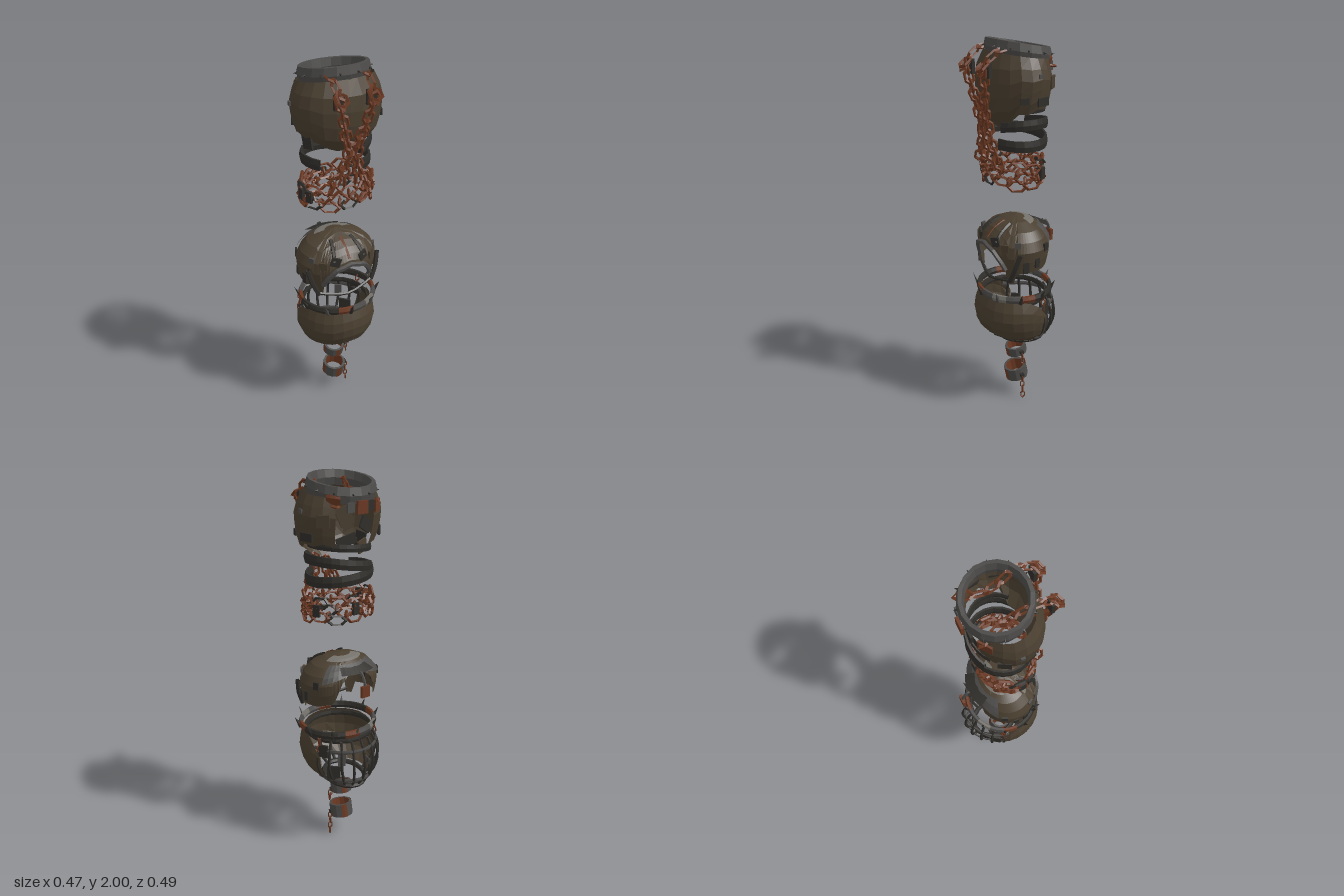
import * as THREE from 'three';

const paint = (color) => new THREE.MeshStandardMaterial({ color, flatShading: true, side: THREE.DoubleSide });
const LEATHER = paint(0x4a3f30), DARK = paint(0x302e2a), STEEL = paint(0x4c4b49), PALE = paint(0x74716b), RUST = paint(0x6a3822);
const rad = THREE.MathUtils.degToRad, lerp = THREE.MathUtils.lerp;
const V = (x, y, z) => new THREE.Vector3(x, y, z);

// Piecewise linear lookup in [[key, value], ...] with rising keys
function ramp(table, k) {
  if (k <= table[0][0]) return table[0][1];
  for (let i = 1; i < table.length; i++) {
    const [k0, v0] = table[i - 1], [k1, v1] = table[i];
    if (k <= k1) return lerp(v0, v1, (k - k0) / (k1 - k0));
  }
  return table[table.length - 1][1];
}

// Quad sheet from a rule fn(u, v) -> [x, y, z]
function sheet(nu, nv, fn) {
  const pos = [], idx = [];
  for (let i = 0; i <= nu; i++) for (let j = 0; j <= nv; j++) pos.push(...fn(i / nu, j / nv));
  for (let i = 0; i < nu; i++) for (let j = 0; j < nv; j++) {
    const a = i * (nv + 1) + j, b = a + nv + 1;
    idx.push(a, a + 1, b, b, a + 1, b + 1);
  }
  const g = new THREE.BufferGeometry();
  g.setAttribute('position', new THREE.Float32BufferAttribute(pos, 3));
  g.setIndex(idx);
  g.computeVertexNormals();
  return g;
}

function add(parent, name, geo, mat, x = 0, y = 0, z = 0) {
  const m = new THREE.Mesh(geo, mat);
  m.name = name;
  m.position.set(x, y, z);
  parent.add(m);
  return m;
}

function section(root, name, x = 0) {
  const g = new THREE.Group();
  g.name = name;
  g.position.x = x;
  root.add(g);
  return g;
}

// Angles are in degrees: 0 = front, 90 = +x. width is the x radius by height, shift the z centre by height
function onShell(s, a, y, out = 0) {
  const r = ramp(s.width, y) + out;
  return [r * Math.sin(rad(a)), y, ramp(s.shift, y) + r * s.depth * Math.cos(rad(a))];
}
const shell = (s, nu, nv, a0, a1, top, bottom, power = 1, out = 0) => sheet(nu, nv, (u, v) => {
  const a = lerp(a0, a1, u);
  return onShell(s, a, lerp(top(a), bottom(a), v ** power), out);
});

// Hoop with a six-sided section, w thick and h high (half sizes)
const hoop = (rx, rz, cz, yOf, a0, a1, n, w, h) => sheet(n, 6, (u, v) => {
  const a = rad(lerp(a0, a1, u)), t = v * Math.PI * 2, o = w * Math.cos(t);
  return [(rx + o) * Math.sin(a), yOf(a) + h * Math.sin(t) * 1.15, cz + (rz + o) * Math.cos(a)];
});

const bar = (pts, r, n = 8) => new THREE.TubeGeometry(new THREE.CatmullRomCurve3(pts), n, r, 5);

// Links along a curve, each turned a quarter against the last
function chain(parent, name, pts, n, r, tube, stretch = 1.6) {
  const g = section(parent, name), curve = new THREE.CatmullRomCurve3(pts);
  const geo = new THREE.TorusGeometry(r, tube, 4, 6).rotateZ(Math.PI / 6).scale(1, stretch, 1);
  for (let i = 0; i < n; i++) {
    const t = i / (n - 1), m = add(g, 'link', geo, RUST);
    m.position.copy(curve.getPointAt(t));
    m.quaternion.setFromUnitVectors(V(0, -1, 0), curve.getTangentAt(t));
    m.rotateY(i % 2 ? 1.2 : -0.25);
  }
}

// Plates or studs [angle, y, w, h, material, roll] lying on a shell
function plates(parent, name, s, list, out = 0.002) {
  for (const [a, y, w, h, mat, roll = 0] of list) {
    const m = add(parent, name, new THREE.BoxGeometry(w, h, 0.01), mat, ...onShell(s, a, y, out));
    m.rotation.set(0, rad(a), roll, 'YXZ');
  }
}

function buildTorso(root) {
  const g = section(root, 'torso', -0.006);
  const s = { depth: 0.75, shift: [[1.6, 0.01], [1.8, 0]], width: [[1.56, 0.1], [1.61, 0.145], [1.67, 0.203], [1.74, 0.222], [1.82, 0.23], [1.9, 0.207], [1.95, 0.165]] };
  const bottom = (a) => ramp([[0, 1.585], [25, 1.59], [50, 1.63], [75, 1.67], [110, 1.68], [135, 1.69], [155, 1.66]], Math.abs(a)) + 0.014 * Math.sin(a * 1.7);
  add(g, 'torsoShell', shell(s, 18, 5, -155, 148, (a) => 1.92 + 0.02 * Math.cos(rad(a)), bottom), LEATHER);
  plates(g, 'torsoPatch', s, [[70, 1.73, 0.04, 0.03, DARK], [105, 1.72, 0.07, 0.04, DARK], [132, 1.8, 0.06, 0.06, LEATHER],
    [-72, 1.65, 0.06, 0.08, DARK, 0.2], [-120, 1.72, 0.06, 0.05, DARK], [-145, 1.85, 0.07, 0.06, RUST], [-95, 1.82, 0.02, 0.02, STEEL], [95, 1.84, 0.02, 0.02, STEEL]]);
  // Broken slabs inside the open back
  plates(g, 'brokenSlab', s, [[160, 1.82, 0.07, 0.09, LEATHER, 0.4], [195, 1.77, 0.08, 0.06, DARK, -0.5], [165, 1.7, 0.1, 0.05, DARK, 0.3], [200, 1.66, 0.07, 0.06, LEATHER, 0.2]], -0.02);

  // Sloping collar with studs and back plates
  const slope = (a) => 1.936 + 0.026 * Math.cos(a);
  add(g, 'collar', hoop(0.159, 0.144, -0.025, slope, 0, 360, 18, 0.017, 0.037), STEEL);
  for (let i = 0; i < 12; i++) {
    const a = rad(i * 30 + 15);
    const m = add(g, 'collarStud', new THREE.ConeGeometry(0.008, 0.024, 5), DARK, 0.178 * Math.sin(a), slope(a) + 0.005, -0.025 + 0.163 * Math.cos(a));
    m.rotation.set(Math.PI / 2, a, 0, 'YXZ');
  }
  add(g, 'collarRustPatch', hoop(0.16, 0.145, -0.025, (a) => slope(a) - 0.015, 122, 145, 3, 0.018, 0.03), RUST);
  for (const [x, w, h, mat] of [[0, 0.06, 0.06, RUST], [-0.06, 0.04, 0.05, DARK], [0.055, 0.04, 0.045, STEEL]])
    add(g, 'collarBackPlate', new THREE.BoxGeometry(w, h, 0.014), mat, x, 1.86, -0.19 + Math.abs(x) * 0.3);

  // Loose hoops under the torso
  add(g, 'ribHoop', hoop(0.16, 0.14, -0.01, (a) => 1.66 + 0.015 * Math.sin(a), 45, 225, 14, 0.007, 0.018), DARK);
  add(g, 'upperHoop', hoop(0.174, 0.148, -0.01, (a) => 1.578 + 0.028 * Math.sin(a), 30, 215, 14, 0.01, 0.025), DARK);
  add(g, 'lowerHoop', hoop(0.17, 0.148, -0.01, (a) => 1.515 - 0.016 * Math.sin(a), 25, 310, 18, 0.01, 0.027), DARK);

  // Crossed chains, running over the shoulders and back inside the collar
  for (const k of [-1, 1]) {
    chain(g, 'crossChain', [V(0.085 * k, 1.86, 0.205), V(0.055 * k, 1.75, 0.19), V(0, 1.62, 0.16 + 0.012 * k), V(-0.045 * k, 1.52, 0.15), V(-0.095 * k, 1.42, 0.14)], 12, 0.023, 0.0075, 1.5);
    chain(g, 'sideChain', [V(0.055 * k, 1.7, 0.18), V(0.03 * k, 1.58, 0.165), V(0.03 * k, 1.45, 0.145)], 6, 0.018, 0.007, 1.6);
    chain(g, 'shoulderChain', [V(0.085 * k, 1.88, 0.21), V(0.088 * k, 1.925, 0.17), V(0.09 * k, 1.955, 0.1), V(0.08 * k, 1.92, 0.03), V(0.085 * k, 1.88, -0.05), V(0.11 * k, 1.87, -0.12)], 7, 0.02, 0.007, 2);
    const ring = add(g, 'shoulderRing', new THREE.TorusGeometry(0.034, 0.008, 4, 6), RUST, 0.085 * k, 1.885, 0.214);
    ring.rotation.set(-0.9, 0, Math.PI / 6);
    add(g, 'chestBuckle', new THREE.BoxGeometry(0.05, 0.07, 0.016), DARK, 0.082 * k, 1.865, 0.185);
  }
}

function buildMail(root) {
  // Three staggered rows of links around the waist
  const g = section(root, 'mailSkirt', -0.008);
  const wide = new THREE.TorusGeometry(0.038, 0.0085, 4, 6).scale(1.2, 0.72, 1);
  const small = new THREE.TorusGeometry(0.018, 0.007, 4, 6);
  for (let row = 0; row < 3; row++) for (let i = 0; i < 12; i++) {
    const a = rad((i + row * 0.5) * 30), sag = 0.01 * Math.sin(i * 2.1);
    const put = (name, geo, b, y, mat, turn) => {
      const m = add(g, name, geo, mat, 0.183 * Math.sin(b), y, 0.002 + 0.134 * Math.cos(b));
      m.rotation.set(0.3 * Math.sin(i * 1.7), b + turn, 0, 'YXZ');
    };
    put('mailLink', wide, a, 1.316 + row * 0.04 + sag, (i + row) % 5 ? RUST : DARK, 0);
    if (row < 2) put('joiningLink', small, a + rad(15), 1.336 + row * 0.04, RUST, 1.2);
  }
  for (const a of [-85, -65, 115, 180]) {
    const m = add(g, 'mailPlate', new THREE.BoxGeometry(0.035, 0.06, 0.014), DARK, 0.195 * Math.sin(rad(a)), 1.36, 0.145 * Math.cos(rad(a)));
    m.rotation.y = rad(a);
  }
}

function buildHelmet(root) {
  const g = section(root, 'helmet', -0.008);
  const s = { depth: 0.8, shift: [[0.8, 0], [1, -0.005], [1.1, -0.02]], width: [[0.77, 0.185], [0.84, 0.2], [0.95, 0.221], [1.0, 0.205], [1.05, 0.155], [1.08, 0.09], [1.098, 0]] };
  const edge = [[0, 0.965], [20, 0.945], [32, 0.9], [41, 0.85], [45, 0.785], [56, 0.785], [60, 0.845], [115, 0.85], [142, 0.87], [146, 0.9], [154, 0.98], [165, 1.02], [180, 1.035]];
  const bottom = (a) => ramp(edge, Math.abs(a));
  add(g, 'helmetDome', shell(s, 72, 6, -180, 180, () => 1.098, bottom, 1.5), LEATHER);

  // Trim around the face, chin bar and cheek plates
  const brow = Array.from({ length: 13 }, (_, i) => {
    const a = lerp(-41, 41, i / 12);
    return V(...onShell(s, a, bottom(a) + 0.012, 0.004));
  });
  add(g, 'faceTrim', bar(brow, 0.013, 20), STEEL);
  add(g, 'chinBar', bar([V(-0.165, 0.81, 0.105), V(-0.1, 0.795, 0.125), V(0, 0.782, 0.145), V(0.1, 0.795, 0.125), V(0.165, 0.81, 0.105)], 0.008), DARK);
  for (const k of [-1, 1]) {
    add(g, 'cheekBar', bar([V(0.205 * k, 0.95, 0.08), V(0.185 * k, 0.87, 0.1), V(0.155 * k, 0.8, 0.11)], 0.013), DARK);
    plates(g, 'sidePlate', s, [[75 * k, 0.88, 0.03, 0.06, DARK], [95 * k, 0.9, 0.025, 0.05, DARK], [60 * k, 1.0, 0.03, 0.03, STEEL], [115 * k, 0.97, 0.03, 0.04, DARK],
      [22 * k, 1.0, 0.05, 0.05, DARK, 0.3 * k], [40 * k, 0.98, 0.04, 0.04, LEATHER]]);
  }
  // Crown: short front straps, pale rear band, ledge and hook
  for (const x of [-0.07, 0, 0.07])
    add(g, 'crownStrap', bar([V(x * 1.2, 1.0, 0.15), V(x, 1.045, 0.105), V(x * 0.8, 1.075, 0.05)], 0.01), x ? DARK : RUST);
  add(g, 'crownBand', shell(s, 12, 2, 105, 255, () => 1.089, () => 1.074, 1, 0.008), PALE);
  add(g, 'rearBand', shell(s, 14, 3, 125, 235, () => 1.064, (a) => ramp([[0, 1.035], [55, 0.98]], Math.abs(a - 180)), 1, 0.012), STEEL);
  add(g, 'rearLedge', sheet(8, 1, (u, v) => {
    const a = lerp(150, 210, u);
    return v ? [0.2 * Math.sin(rad(a)), 1.03, 0.192 * Math.cos(rad(a))] : onShell(s, a, 1.055, 0.01);
  }), DARK);
  add(g, 'hookArm', bar([V(0, 1.035, -0.185), V(0, 1.03, -0.2), V(0, 0.99, -0.224), V(0, 0.96, -0.23)], 0.008), STEEL);
  add(g, 'hookBlock', new THREE.BoxGeometry(0.05, 0.06, 0.016), RUST, 0, 0.945, -0.23);
}

function buildSpikedRing(root) {
  // Ring of alternating metal segments with outward spikes
  const g = section(root, 'spikedRing');
  const mats = [STEEL, RUST, DARK, PALE, DARK, RUST, STEEL, DARK];
  for (let i = 0; i < 16; i++)
    add(g, 'ringSegment', hoop(0.202, 0.187, -0.004, () => 0.7, i * 22.5, (i + 1) * 22.5, 2, 0.013, 0.018), mats[(i * 3) % 8]);
  for (let i = 0; i < 10; i++) {
    const a = rad(32 + i * 36), dir = V(Math.sin(a) * 0.6, 1, Math.cos(a) * 0.5).normalize();
    const m = add(g, 'spike', new THREE.ConeGeometry(0.014, 0.07, 5), i % 4 ? DARK : STEEL, 0.22 * Math.sin(a), 0.714, 0.2 * Math.cos(a));
    m.quaternion.setFromUnitVectors(V(0, 1, 0), dir);
  }
}

function buildBelly(root) {
  const g = section(root, 'belly', -0.009);
  const s = { depth: 0.96, shift: [[0.39, -0.06], [0.47, -0.01], [0.55, 0]], width: [[0.38, 0.1], [0.41, 0.148], [0.46, 0.192], [0.53, 0.215], [0.59, 0.217], [0.64, 0.204], [0.68, 0.185]] };
  const bottom = (a) => ramp([[0, 0.435], [14, 0.43], [22, 0.405], [70, 0.4], [118, 0.395]], Math.abs(a));
  const top = (a) => ramp([[0, 0.68], [80, 0.672], [100, 0.645], [118, 0.56]], Math.abs(a));
  add(g, 'bellyShell', shell(s, 16, 5, -118, 118, top, bottom), LEATHER);
  add(g, 'innerHoop', hoop(0.178, 0.172, -0.005, () => 0.655, 0, 360, 18, 0.007, 0.014), DARK);

  // Cage of upright bars closing the back, tapering below, backed by dark plates
  const cage = (a, y, r, taper = 0.9) => V(r * taper * Math.sin(rad(a)), y, -0.01 + r * Math.cos(rad(a)));
  for (let a = 108; a <= 252; a += 18)
    add(g, 'cageBar', bar([cage(a, 0.655, 0.185), cage(a, 0.6, 0.212), cage(a, 0.52, 0.226), cage(a, 0.44, 0.212, 0.8), cage(a, 0.385, 0.175, 0.66)], 0.008), DARK);
  for (const [y, r, taper] of [[0.605, 0.211, 0.9], [0.43, 0.207, 0.78]])
    add(g, 'cageHoop', hoop(r * taper, r, -0.01, () => y, 100, 260, 14, 0.005, 0.01), STEEL);
  plates(g, 'cagePlate', s, [[122, 0.6, 0.05, 0.07, DARK], [135, 0.47, 0.07, 0.08, DARK], [150, 0.56, 0.04, 0.08, STEEL], [-125, 0.5, 0.05, 0.08, DARK], [-140, 0.44, 0.06, 0.05, DARK]], -0.012);
  add(g, 'bottomHoop', hoop(0.105, 0.125, -0.055, (a) => 0.388 + 0.012 * Math.cos(a), 0, 360, 18, 0.014, 0.012), DARK);
  for (const a of [-14, 0, 14])
    add(g, 'frontStay', bar([V(...onShell(s, a, 0.45, -0.01)), V(0.11 * Math.sin(rad(a)), 0.4, -0.055 + 0.125 * Math.cos(rad(a)))], 0.009, 3), DARK);
  for (const k of [-1, 1])
    chain(g, 'cageChain', [V(0.18 * k, 0.68, -0.08), V(0.185 * k, 0.61, -0.08)], 3, 0.012, 0.004);
}

// Hollow shackle with a rusted inside and a short hanging chain
function buildShackle(root, name, y, r, h, links, low) {
  const g = section(root, name), cuff = section(g, 'cuff', -0.011), inner = r - 0.012;
  cuff.position.y = y;
  cuff.position.z = -0.022;
  cuff.rotation.x = 0.2;
  const wall = [[inner, -h], [r, -h], [r, h], [inner, h]].map(([x, t]) => new THREE.Vector2(x, t / 2));
  add(cuff, 'cuffWall', new THREE.LatheGeometry(wall, 12), STEEL);
  add(cuff, 'cuffLining', new THREE.CylinderGeometry(inner, inner, h, 12, 1, true), RUST);
  for (const a of [-0.2, 2.6, 4.4])
    add(cuff, 'rustPatch', new THREE.CylinderGeometry(r + 0.001, r + 0.001, h, 2, 1, true, a, 0.5), RUST);
  add(cuff, 'cuffLug', new THREE.BoxGeometry(0.02, 0.02, 0.02), DARK, r + 0.005, 0, 0);
  chain(g, 'cuffChain', [V(0.062, y - 0.02, -0.02), V(0.066, low, -0.021)], links, 0.012, 0.0035, 1.7);
}

export function createModel() {
  const root = new THREE.Group();
  root.name = 'armourStack';
  buildTorso(root);
  buildMail(root);
  buildHelmet(root);
  buildSpikedRing(root);
  buildBelly(root);
  buildShackle(root, 'upperShackle', 0.29, 0.058, 0.052, 2, 0.245);
  buildShackle(root, 'lowerShackle', 0.145, 0.063, 0.075, 4, 0.023);
  return root;
}
